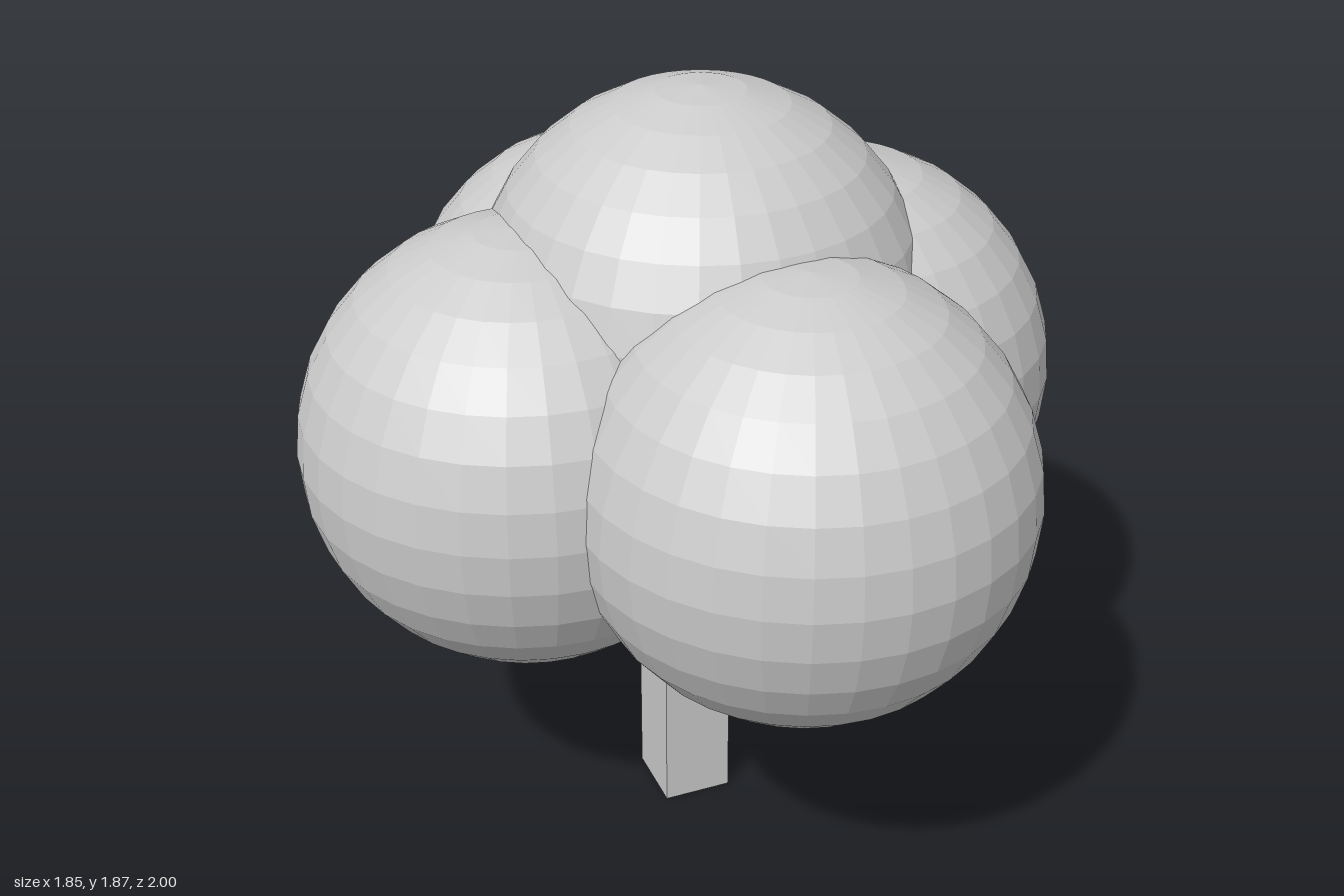
import * as THREE from 'three';

export function createModel() {
  const tree = new THREE.Group();
  tree.name = 'tree';
  const material = new THREE.MeshStandardMaterial({ color: 0xcccccc, flatShading: true });

  const addPart = (name, geometry, x, y, z) => {
    const mesh = new THREE.Mesh(geometry, material);
    mesh.name = name;
    mesh.position.set(x, y, z);
    tree.add(mesh);
  };

  // Square trunk, running up into the foliage
  const trunkHeight = 1.1;
  addPart('trunk', new THREE.BoxGeometry(0.17, trunkHeight, 0.18), -0.015, trunkHeight / 2, 0.02);

  // Five overlapping faceted balls of foliage
  const ball = new THREE.SphereGeometry(0.53, 32, 16);
  const foliage = {
    frontFoliage: [0.09, 1.095, 0.47],
    backFoliage: [-0.01, 1.067, -0.47],
    leftFoliage: [0.395, 1.11, -0.05],
    rightFoliage: [-0.395, 1.077, -0.015],
    topFoliage: [0.045, 1.34, -0.03],
  };
  for (const [name, position] of Object.entries(foliage)) addPart(name, ball, ...position);

  return tree;
}
